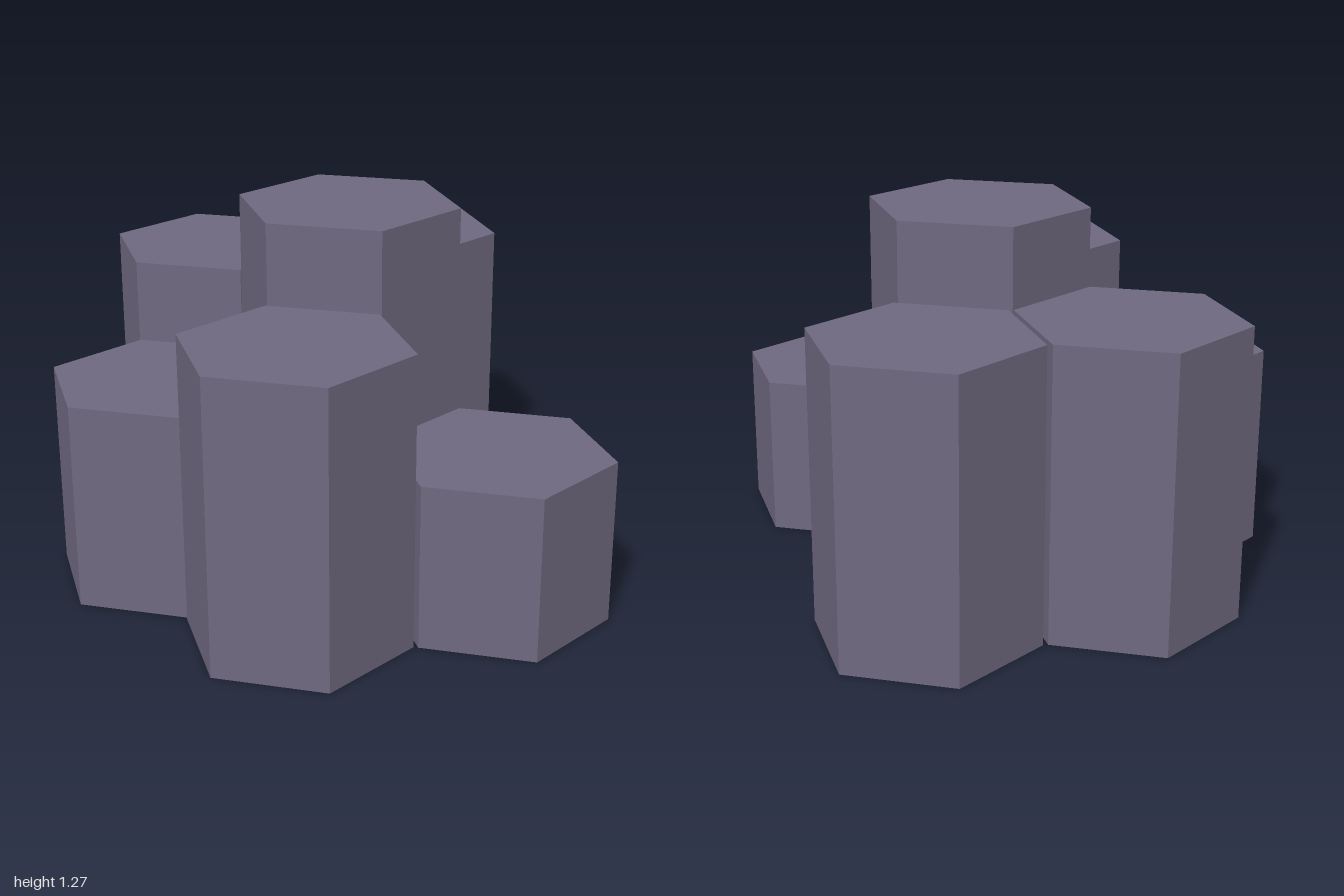
import * as THREE from 'three';

export function createModel() {
  const group = new THREE.Group();
  group.name = 'basaltColumns';
  const stone = new THREE.MeshStandardMaterial({ color: 0x6f6980, flatShading: true });
  stone.name = 'purple grey stone';

  const radius = 0.381;
  // name, x, z, height of each hexagonal column
  const columns = [
    ['centreColumn', -0.005, 0, 1.27],
    ['rightColumn', -0.669, 0, 1.0],
    ['leftColumn', 0.669, 0, 0.565],
    ['backColumn', -0.329, -0.585, 1.0],
    ['frontRightColumn', -0.336, 0.571, 0.713],
    ['frontLeftColumn', 0.326, 0.58, 0.997],
  ];
  for (const [name, x, z, height] of columns) {
    const column = new THREE.Mesh(new THREE.CylinderGeometry(radius, radius, height, 6), stone);
    column.name = name;
    column.position.set(x, height / 2, z);
    group.add(column);
  }
  return group;
}
